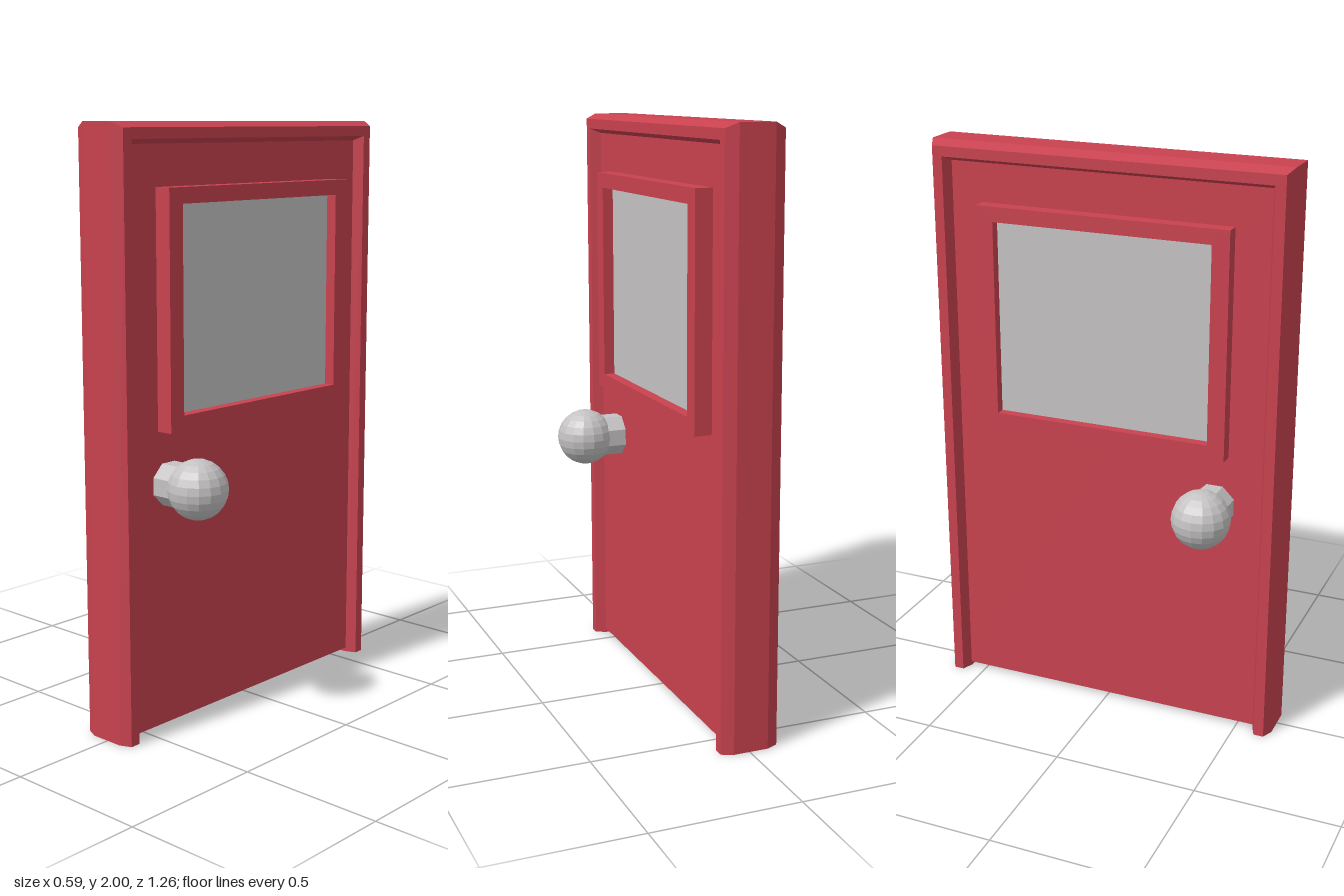
import * as THREE from 'three';

const red = new THREE.MeshStandardMaterial({ color: 0xc8424f });
red.name = 'red paint';
red.side = THREE.DoubleSide;
red.flatShading = true;
const grey = new THREE.MeshStandardMaterial({ color: 0xc4c2c2 });
grey.name = 'light grey';
grey.flatShading = true;

function add(parent, name, geometry, material, x = 0, y = 0, z = 0) {
  const mesh = new THREE.Mesh(geometry, material);
  mesh.name = name;
  mesh.position.set(x, y, z);
  parent.add(mesh);
  return mesh;
}

// Chamfered section swept up one jamb, across the head and down the other
function doorFrameGeometry() {
  const section = [ // [x, distance in from the outer edge]
    [0.06, 0], [0.1, 0.018], [0.1, 0.053], [0.06, 0.07],
    [-0.06, 0.07], [-0.1, 0.053], [-0.1, 0.018], [-0.06, 0],
  ];
  const stations = [[1, 0], [1, 1], [-1, 1], [-1, 0]]; // [side, at head]
  const point = (s, i) => {
    const [x, d] = section[i % 8];
    return [x - 0.004, stations[s][1] ? 2 - d : 0, stations[s][0] * (0.63 - d)];
  };
  const pos = [];
  const tri = (a, b, c) => pos.push(...a, ...b, ...c);
  for (let s = 0; s < 3; s++) {
    for (let i = 0; i < 8; i++) {
      const a = point(s, i), b = point(s, i + 1), c = point(s + 1, i + 1), d = point(s + 1, i);
      tri(a, c, b);
      tri(a, d, c);
    }
  }
  // Feet of the jambs
  for (let i = 1; i < 7; i++) {
    tri(point(0, 0), point(0, i), point(0, i + 1));
    tri(point(3, 0), point(3, i + 1), point(3, i));
  }
  const g = new THREE.BufferGeometry();
  g.setAttribute('position', new THREE.Float32BufferAttribute(pos, 3));
  g.computeVertexNormals();
  return g;
}

// Rectangular ring around the window, depth along x
function windowFrameGeometry(depth) {
  const rect = (path, w, h) => path.moveTo(-w, -h).lineTo(w, -h).lineTo(w, h).lineTo(-w, h).closePath();
  const shape = rect(new THREE.Shape(), 0.445, 0.39);
  shape.holes.push(rect(new THREE.Path(), 0.385, 0.338));
  return new THREE.ExtrudeGeometry(shape, { depth, bevelEnabled: false });
}

export function createModel() {
  const model = new THREE.Group();
  model.name = 'door';
  add(model, 'doorFrame', doorFrameGeometry(), red);

  // The same fittings on both faces of the door
  for (const s of [1, -1]) {
    const side = s > 0 ? 'left' : 'right';
    const turn = s * Math.PI / 2;

    // Hollow door leaf, open along the bottom
    const panel = add(model, side + 'Panel', new THREE.PlaneGeometry(1.13, 1.92), red, s * 0.063 - 0.003, 0.975, 0);
    panel.rotation.y = turn;

    const ring = add(model, side + 'WindowFrame', windowFrameGeometry(0.06), red, s * 0.058 + 0.002, 1.408, -0.004);
    ring.rotation.y = turn;
    add(model, side + 'Glass', new THREE.BoxGeometry(0.02, 0.69, 0.78), grey, s * 0.072, 1.408, -0.004);

    // Knob on an eight-sided neck
    const knob = new THREE.Group();
    knob.name = side + 'Knob';
    knob.position.set(-0.002, 0.84, 0.395);
    model.add(knob);
    const neck = new THREE.CylinderGeometry(0.075, 0.075, 0.09, 8);
    neck.rotateY(Math.PI / 8).rotateZ(Math.PI / 2);
    add(knob, side + 'KnobNeck', neck, grey, s * 0.1, 0, 0);
    add(knob, side + 'KnobBall', new THREE.SphereGeometry(0.1, 16, 12), grey, s * 0.195, 0, 0);
  }
  return model;
}
